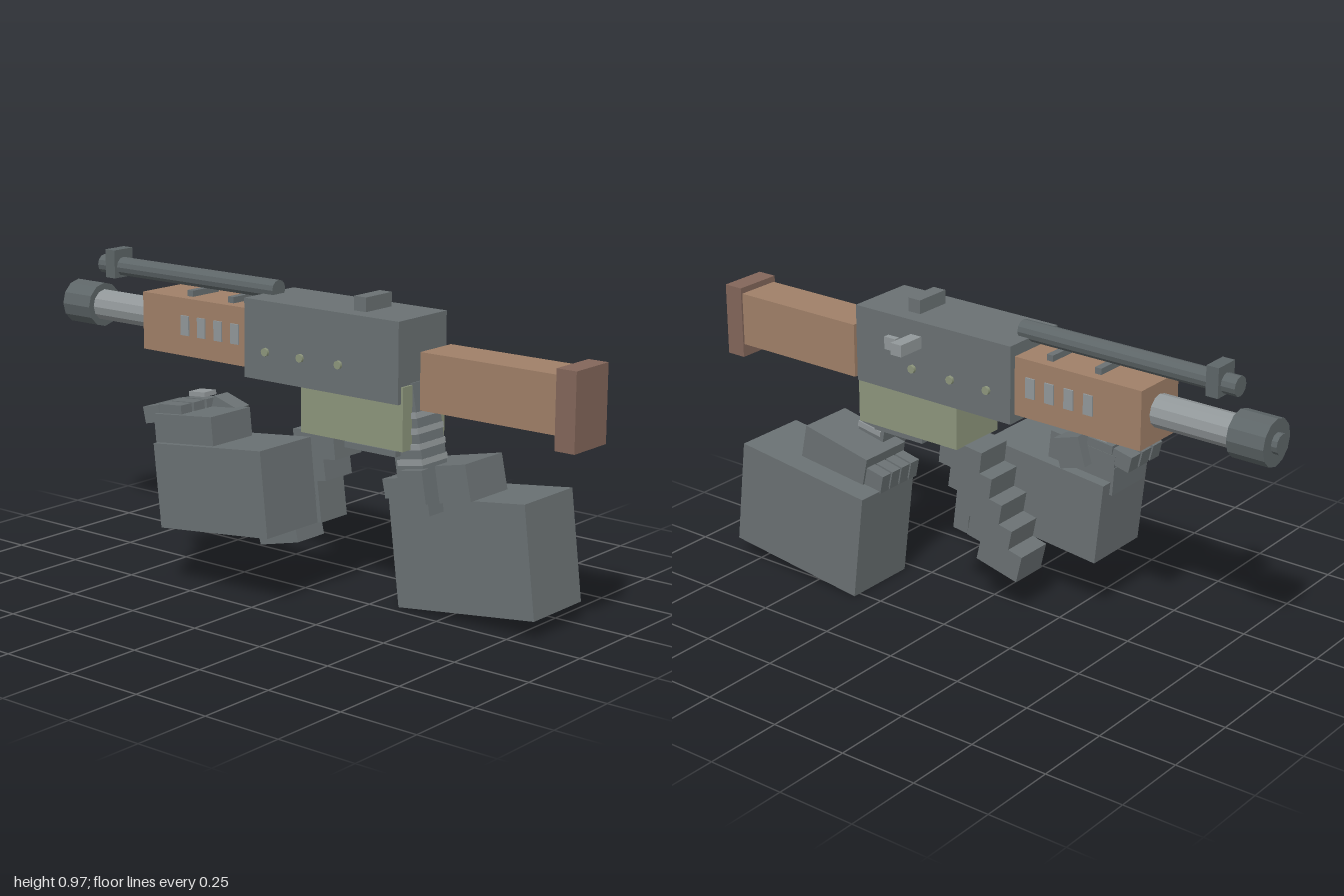
import * as THREE from 'three';

const paint = (name, color) => {
  const m = new THREE.MeshStandardMaterial({ color });
  m.name = name;
  return m;
};

export function createModel() {
  const model = new THREE.Group();
  model.name = 'blockyRifleWithHands';
  const steel = paint('steel', 0x6a7173);
  const darkSteel = paint('darkSteel', 0x5e6668);
  const lightSteel = paint('lightSteel', 0x92989a);
  const wood = paint('wood', 0xa08068);
  const darkWood = paint('darkWood', 0x83665a);
  const olive = paint('olive', 0x8d967c);
  const CX = 0.02; // the rifle's own centre line

  // Box from its extents
  const box = (name, mat, x0, x1, y0, y1, z0, z1) => {
    const mesh = new THREE.Mesh(new THREE.BoxGeometry(x1 - x0, y1 - y0, z1 - z0), mat);
    mesh.position.set((x0 + x1) / 2, (y0 + y1) / 2, (z0 + z1) / 2);
    mesh.name = name;
    model.add(mesh);
    return mesh;
  };
  // Box pitched about x, from its x extents, centre and size
  const tilted = (name, mat, x0, x1, y, z, h, d, deg) => {
    const mesh = box(name, mat, x0, x1, y - h / 2, y + h / 2, z - d / 2, z + d / 2);
    mesh.rotation.x = THREE.MathUtils.degToRad(deg);
    return mesh;
  };
  // Faceted cylinder along z
  const rod = (name, mat, r, y, z0, z1, sides = 12) => {
    const geo = new THREE.CylinderGeometry(r, r, z1 - z0, sides).rotateX(Math.PI / 2).toNonIndexed();
    geo.computeVertexNormals();
    const mesh = new THREE.Mesh(geo, mat);
    mesh.position.set(CX, y, (z0 + z1) / 2);
    mesh.name = name;
    model.add(mesh);
  };

  // Stock
  box('buttPlate', darkWood, -0.059, 0.098, 0.603, 0.834, 0.935, 1.0);
  box('stock', wood, -0.053, 0.092, 0.645, 0.815, 0.47, 0.935);

  // Receiver and its lower housing
  box('receiver', steel, -0.094, 0.133, 0.66, 0.902, -0.16, 0.423);
  box('lowerHousing', olive, -0.08, 0.12, 0.52, 0.71, 0.05, 0.43);
  box('rearSight', steel, -0.04, 0.08, 0.9, 0.945, 0.217, 0.262);
  box('boltHandle', lightSteel, 0.13, 0.227, 0.82, 0.857, 0.17, 0.21);
  box('boltCatch', lightSteel, 0.13, 0.153, 0.795, 0.835, 0.255, 0.297);
  for (const z of [0.205, 0.06, -0.075]) {
    const pin = new THREE.Mesh(new THREE.CylinderGeometry(0.013, 0.013, 0.246, 8), olive);
    pin.rotation.z = Math.PI / 2;
    pin.position.set(CX, 0.748, z);
    pin.name = 'receiverPin';
    model.add(pin);
  }

  // Handguard with vents on both sides and clips on top
  box('handguard', wood, -0.073, 0.112, 0.685, 0.866, -0.6, -0.16);
  for (let i = 0; i < 4; i++) {
    const z = -0.217 - i * 0.068;
    for (const x of [-0.074, 0.113]) {
      box('handguardVent', lightSteel, x - 0.004, x + 0.004, 0.75, 0.812, z - 0.016, z + 0.016);
    }
  }
  for (const z of [-0.262, -0.43]) {
    box('handguardClip', steel, -0.04, 0.08, 0.86, 0.885, z - 0.011, z + 0.011);
  }

  // Barrel, muzzle and upper tube
  rod('barrel', lightSteel, 0.05, 0.78, -0.88, -0.59);
  rod('muzzle', darkSteel, 0.071, 0.78, -0.982, -0.864);
  rod('muzzleTip', darkSteel, 0.031, 0.78, -1.0, -0.97);
  rod('upperTube', darkSteel, 0.03, 0.915, -0.86, -0.122);
  box('frontSight', darkSteel, -0.02, 0.062, 0.88, 0.97, -0.815, -0.775);

  // Grip with ribs, and trigger guard
  tilted('grip', steel, -0.036, 0.078, 0.515, 0.414, 0.39, 0.1, -10);
  for (let i = 0; i < 4; i++) {
    tilted('gripRib', lightSteel, -0.041, 0.083, 0.615 - i * 0.045, 0.402 + i * 0.008, 0.018, 0.09, -10);
  }
  box('triggerGuard', steel, -0.06, 0.1, 0.494, 0.512, 0.2, 0.39);
  tilted('trigger', steel, 0.0, 0.04, 0.515, 0.31, 0.05, 0.02, -10);

  // Curved magazine of stepped blocks
  for (let i = 0; i < 5; i++) {
    tilted('magazineBlock', steel, -0.042, 0.082, 0.478 - i * 0.073, 0.068 - i * 0.037, 0.09, 0.155, -7 - i * 1.6);
  }
  tilted('magazineRear', steel, -0.041, 0.081, 0.31, 0.06, 0.15, 0.055, -7);

  // Left model-side arm, holding the grip
  tilted('gripForearm', steel, 0.033, 0.275, 0.204, 0.557, 0.341, 0.49, -7);
  tilted('gripPalm', steel, 0.018, 0.2, 0.41, 0.47, 0.11, 0.25, -12);
  for (let i = 0; i < 4; i++) {
    const x = 0.02 + i * 0.045;
    tilted('gripFinger', steel, x, x + 0.038, 0.373, 0.322, 0.06, 0.075, -12);
  }
  tilted('gripThumb', steel, -0.062, -0.03, 0.415, 0.455, 0.1, 0.08, -10);

  // Right model-side arm, reaching forward
  tilted('frontForearm', steel, -0.278, -0.048, 0.348, -0.14, 0.262, 0.43, -6);
  tilted('frontPalm', steel, -0.26, -0.085, 0.505, -0.26, 0.1, 0.235, -6);
  for (let i = 0; i < 3; i++) {
    const x = -0.247 + i * 0.057;
    tilted('frontFinger', steel, x, x + 0.047, 0.561, -0.325, 0.03, 0.09, -5);
    tilted('frontFingerTip', steel, x, x + 0.047, 0.535, -0.402, 0.052, 0.066, -13);
  }
  tilted('knuckles', steel, -0.255, -0.085, 0.46, -0.362, 0.09, 0.03, -4);
  tilted('fingerPad', lightSteel, -0.135, -0.082, 0.59, -0.32, 0.014, 0.065, -5);
  tilted('frontThumb', steel, -0.11, -0.05, 0.53, -0.24, 0.095, 0.093, 17);
  return model;
}
